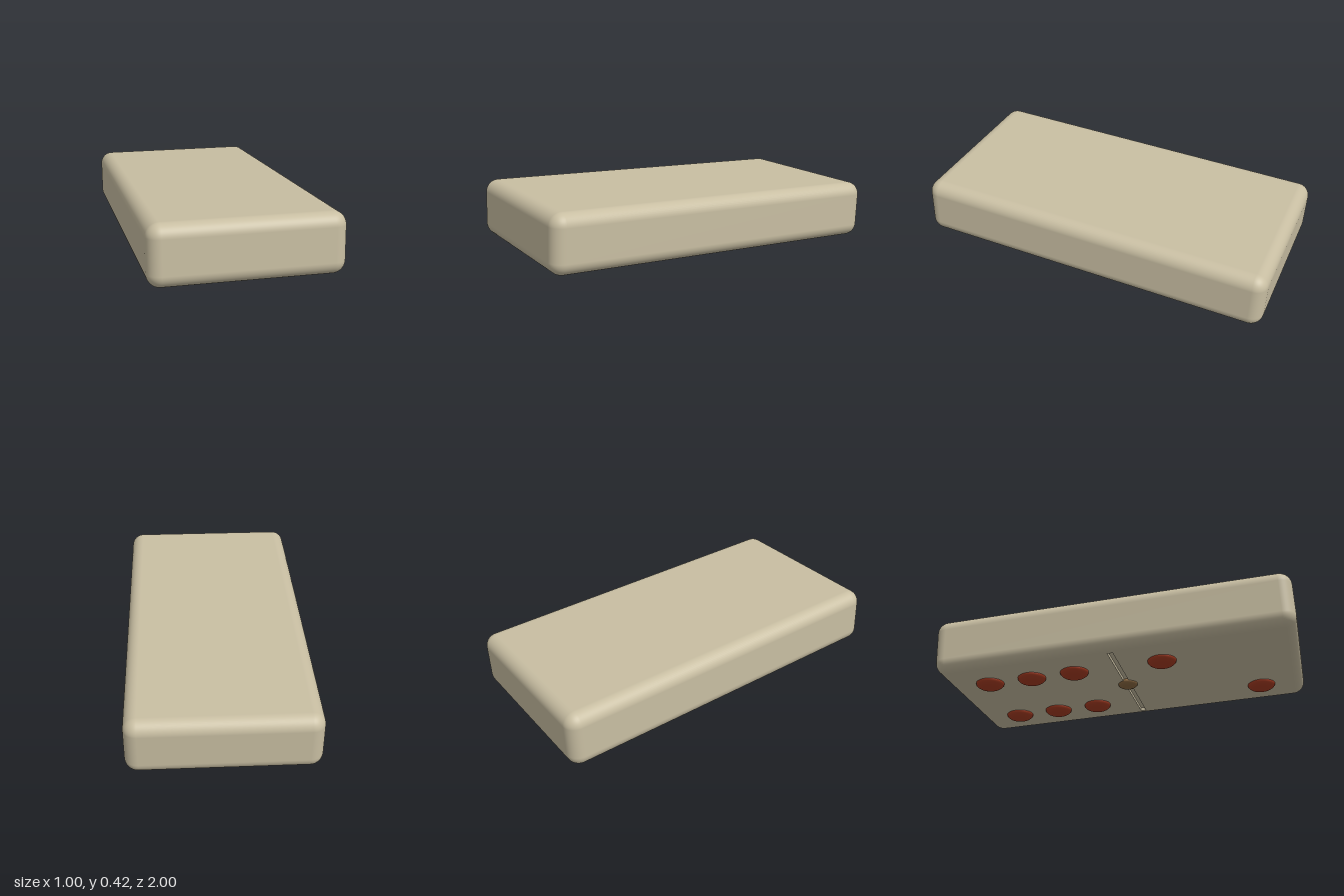
import * as THREE from 'three';
import { RoundedBoxGeometry } from 'three/addons/geometries/RoundedBoxGeometry.js';

const W = 1, H = 0.32, L = 1.994, R = 0.07;      // tile size and edge radius
const GROOVE = { w: 0.85, d: 0.03, depth: 0.02 }; // dividing groove

const ivory = new THREE.MeshStandardMaterial({ color: 0xc8bea2 });
const red = new THREE.MeshStandardMaterial({ color: 0xa83c22 });
const brass = new THREE.MeshStandardMaterial({ color: 0x8c6a42 });

function addMesh(parent, name, geometry, material) {
  const mesh = new THREE.Mesh(geometry, material);
  mesh.name = name;
  parent.add(mesh);
  return mesh;
}

// Rounded tile without its flat underside, which is rebuilt with a slot
function openTileGeometry() {
  const geo = new RoundedBoxGeometry(W, H, L, 6, R);
  const src = geo.index ? geo.toNonIndexed() : geo;
  const pos = src.attributes.position, nor = src.attributes.normal;
  const p = [], n = [];
  for (let i = 0; i < pos.count; i += 3) {
    const corners = [i, i + 1, i + 2];
    if (corners.every((k) => pos.getY(k) < -H / 2 + 1e-5)) continue;
    for (const k of corners) {
      p.push(pos.getX(k), pos.getY(k), pos.getZ(k));
      n.push(nor.getX(k), nor.getY(k), nor.getZ(k));
    }
  }
  const out = new THREE.BufferGeometry();
  out.setAttribute('position', new THREE.Float32BufferAttribute(p, 3));
  out.setAttribute('normal', new THREE.Float32BufferAttribute(n, 3));
  return out;
}

function rectangle(PathType, w, h) {
  return new PathType([[-w, -h], [w, -h], [w, h], [-w, h]]
    .map(([x, y]) => new THREE.Vector2(x / 2, y / 2)));
}

// Low domed stud half sunk into the underside
function addStud(parent, name, x, z, radius, height, material) {
  const stud = addMesh(parent, name, new THREE.SphereGeometry(radius, 32, 20), material);
  stud.scale.y = height / radius;
  stud.position.set(x, -H / 2, z);
}

export function createModel() {
  const model = new THREE.Group();
  model.name = 'dominoTile';

  const tile = new THREE.Group();
  tile.name = 'tile';
  tile.position.y = 0.225;
  tile.rotation.x = -0.0375; // leans on the pips of its fuller half
  model.add(tile);

  addMesh(tile, 'body', openTileGeometry(), ivory);

  // Underside with the slot cut out
  const face = rectangle(THREE.Shape, W - 2 * R, L - 2 * R);
  face.holes.push(rectangle(THREE.Path, GROOVE.w, GROOVE.d));
  const underside = addMesh(tile, 'underside',
    new THREE.ShapeGeometry(face).rotateX(Math.PI / 2), ivory);
  underside.position.y = -H / 2;

  // Groove floor and walls
  const { w, d, depth } = GROOVE;
  const groove = new THREE.Group();
  groove.name = 'dividingGroove';
  groove.position.y = -H / 2;
  tile.add(groove);
  addMesh(groove, 'grooveFloor', new THREE.PlaneGeometry(w, d).rotateX(Math.PI / 2), ivory)
    .position.y = depth;
  for (const s of [-1, 1]) {
    addMesh(groove, 'grooveSide',
      new THREE.PlaneGeometry(w, depth).rotateY(s > 0 ? Math.PI : 0), ivory)
      .position.set(0, depth / 2, s * d / 2);
    addMesh(groove, 'grooveEnd',
      new THREE.PlaneGeometry(d, depth).rotateY(-s * Math.PI / 2), ivory)
      .position.set(s * w / 2, depth / 2, 0);
  }

  // Two pips on the front half, six on the back half
  const pips = [[0.25, 0.75], [-0.25, 0.25]];
  for (const x of [-0.25, 0.25]) for (const z of [-0.25, -0.5, -0.75]) pips.push([x, z]);
  for (const [x, z] of pips) addStud(tile, 'pip', x, z, 0.08, 0.035, red);

  addStud(tile, 'centrePin', 0, 0, 0.056, 0.025, brass);

  return model;
}
